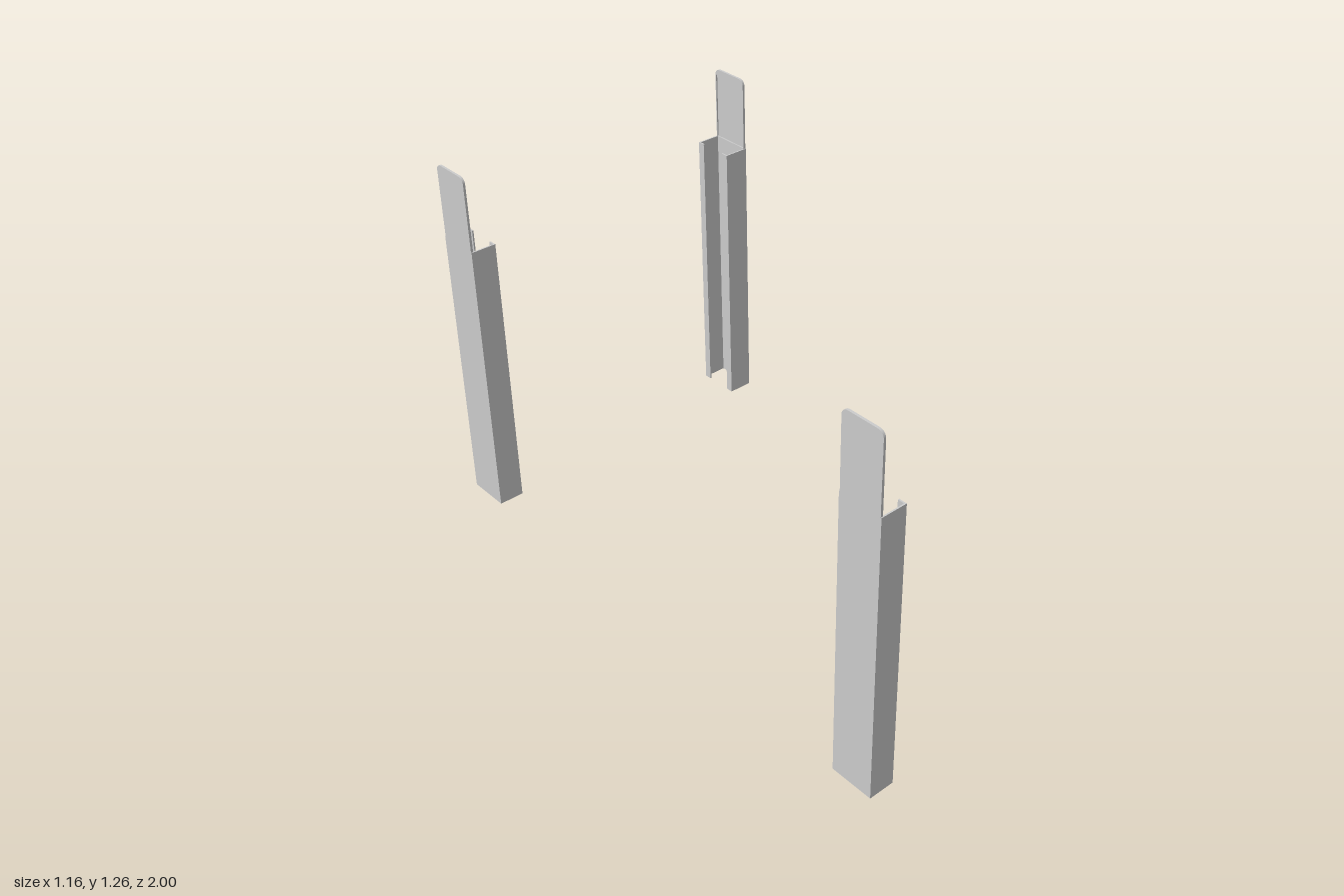
import * as THREE from 'three';

const material = new THREE.MeshStandardMaterial({ color: 0xcccccc, flatShading: true, side: THREE.DoubleSide });

const T = 0.005;      // sheet thickness
const DEPTH = 0.09;   // flange depth
const HALF = 0.077;   // half width of the web
const LIP = 0.027;    // returned lip
const HEIGHT = 1.0;   // channel height
const TOP = 1.26;     // top of the tab
const RIM = 0.008;    // depth of the folded rim

function box(name, w, h, d, x, y, z) {
  const mesh = new THREE.Mesh(new THREE.BoxGeometry(w, h, d), material);
  mesh.name = name;
  mesh.position.set(x, y, z);
  return mesh;
}

// Upright rectangle with rounded top corners
function roundedTop(ShapeType, half, y0, y1, r) {
  const s = new ShapeType();
  s.moveTo(-half, y0);
  s.lineTo(half, y0);
  s.lineTo(half, y1 - r);
  s.absarc(half - r, y1 - r, r, 0, Math.PI / 2, false);
  s.lineTo(-half + r, y1);
  s.absarc(-half + r, y1 - r, r, Math.PI / 2, Math.PI, false);
  s.closePath();
  return s;
}

// Extrudes a shape drawn in z and y towards +x
function plate(name, shape, depth) {
  const geo = new THREE.ExtrudeGeometry(shape, { depth, bevelEnabled: false, curveSegments: 5 });
  geo.rotateY(Math.PI / 2);
  const mesh = new THREE.Mesh(geo, material);
  mesh.name = name;
  return mesh;
}

// Post with its web on x = 0, opening towards +x
function createPost(name) {
  const post = new THREE.Group();
  post.name = name;

  // Channel: web, two flanges, two lips
  post.add(box('web', T, HEIGHT, HALF * 2, T / 2, HEIGHT / 2, 0));
  for (const s of [-1, 1]) {
    post.add(box('flange', DEPTH, HEIGHT, T, DEPTH / 2, HEIGHT / 2, s * (HALF - T / 2)));
    post.add(box('lip', T, HEIGHT, LIP, DEPTH - T / 2, HEIGHT / 2, s * (HALF - LIP / 2)));
  }

  // Tab above the channel, with narrow side rims and a hem along the top
  const half = HALF - 0.003;
  post.add(plate('tab', roundedTop(THREE.Shape, half, HEIGHT, TOP, 0.022), 0.003));
  const rim = roundedTop(THREE.Shape, half, HEIGHT, TOP, 0.022);
  const hole = new THREE.Path();
  const w = half - 0.004;
  hole.moveTo(-w, HEIGHT + 0.002);
  hole.lineTo(-w, TOP - 0.022);
  hole.lineTo(w, TOP - 0.022);
  hole.lineTo(w, HEIGHT + 0.002);
  hole.closePath();
  rim.holes.push(hole);
  post.add(plate('tabRim', rim, RIM));
  return post;
}

export function createModel() {
  const model = new THREE.Group();
  model.name = 'channelPosts';
  // Three corner posts, each opening towards the middle
  const posts = [
    ['frontRightPost', -1, 1],
    ['backRightPost', -1, -1],
    ['backLeftPost', 1, -1],
  ];
  for (const [name, sx, sz] of posts) {
    const post = createPost(name);
    post.position.set(sx * 0.578, 0, sz * (1 - HALF));
    if (sx > 0) post.rotation.y = Math.PI;
    model.add(post);
  }
  return model;
}
